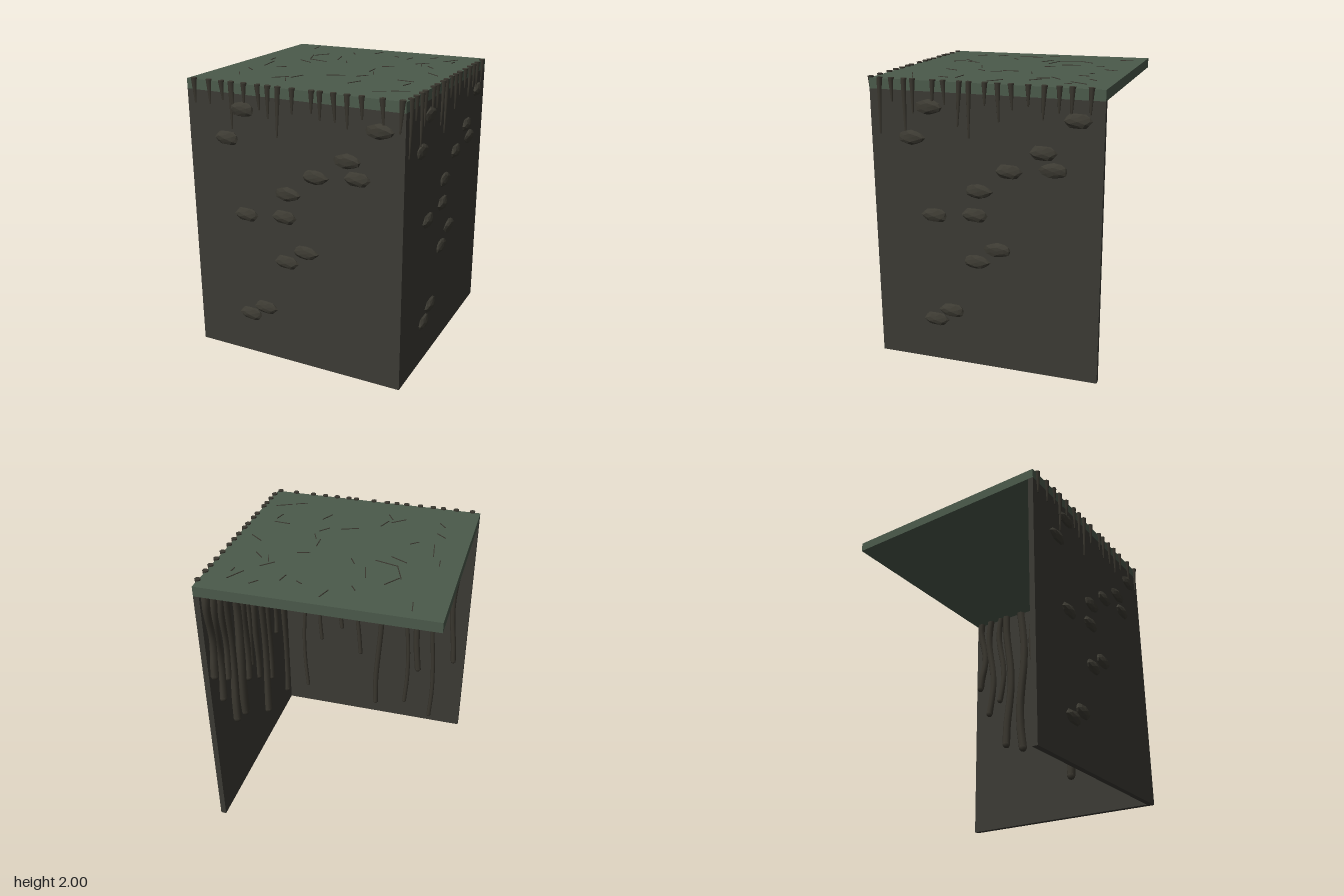
import * as THREE from 'three';

const mat = (name, color, extra = {}) => {
  const m = new THREE.MeshStandardMaterial({ color, ...extra });
  m.name = name;
  return m;
};

export function createModel() {
  const moss = mat('moss green', 0x4b5a4b);
  const earth = mat('dark earth', 0x3b3a34);
  const stone = mat('stone brown', 0x3c3a32, { flatShading: true });
  const root = mat('root brown', 0x3a372f);

  let seed = 7;
  const rand = () => (seed = (seed * 16807) % 2147483647) / 2147483647;
  const model = new THREE.Group();
  const add = (parent, name, geo, material, x = 0, y = 0, z = 0) => {
    const m = new THREE.Mesh(geo, material);
    m.name = name;
    m.position.set(x, y, z);
    parent.add(m);
    return m;
  };

  // Two thin walls meeting at a corner, under a mossy slab
  const MIN = -0.81, MAX = 0.78, T = 0.04, MID = (MIN + MAX) / 2, L = MAX - MIN;
  add(model, 'frontWall', new THREE.BoxGeometry(L, 1.92, T), earth, MID, 0.96, MAX - T / 2);
  add(model, 'sideWall', new THREE.BoxGeometry(T, 1.92, L - T), earth, MAX - T / 2, 0.96, MID - T / 2);
  add(model, 'mossTop', new THREE.BoxGeometry(L, 0.07, L), moss, MID, 1.955, MID);

  // Wall frame: u runs along the wall, v points outwards
  const place = (side, u, y, v) =>
    side ? new THREE.Vector3(v, y, u) : new THREE.Vector3(u, y, v);

  // Faceted stones half sunk in the outer faces
  const stoneGeometry = () => {
    const geo = new THREE.IcosahedronGeometry(1, 1);
    const p = geo.attributes.position;
    const phase = rand() * 6;
    for (let i = 0; i < p.count; i++) {
      const x = p.getX(i), y = p.getY(i), z = p.getZ(i);
      const k = 0.97 + 0.08 * Math.sin(phase + 5 * x + 7 * y + 3 * z);
      p.setXYZ(i, x * k * 0.097, y * k * 0.051, z * k * 0.029);
    }
    geo.computeVertexNormals();
    return geo;
  };
  const frontStones = [
    [-0.38, 1.82], [-0.51, 1.61], [0.61, 1.79], [0.39, 1.57], [0.46, 1.46], [0.16, 1.43],
    [-0.05, 1.28], [-0.38, 1.08], [-0.08, 1.11], [0.08, 0.88], [-0.07, 0.78], [-0.25, 0.39], [-0.38, 0.31]];
  const sideStones = [
    [0.36, 1.82], [0.49, 1.61], [-0.64, 1.79], [-0.42, 1.57], [-0.49, 1.46], [-0.19, 1.43],
    [0.02, 1.28], [0.34, 1.08], [0.05, 1.11], [-0.11, 0.88], [0.04, 0.78], [0.23, 0.39], [0.35, 0.31]];
  [frontStones, sideStones].forEach((list, side) => {
    const group = new THREE.Group();
    group.name = side ? 'sideStones' : 'frontStones';
    model.add(group);
    for (const [u, y] of list) {
      const s = add(group, 'stone', stoneGeometry(), stone);
      s.position.copy(place(side, u, y, MAX));
      if (side) s.rotation.y = Math.PI / 2;
    }
  });

  // Tapered strands hanging over the slab's outer edges: position, lower tip
  const frontFringe = [
    [-0.75, 1.83], [-0.63, 1.83], [-0.53, 1.87], [-0.45, 1.78], [-0.46, 1.68], [-0.36, 1.86],
    [-0.25, 1.83], [-0.18, 1.78], [-0.11, 1.66], [0, 1.83], [0.2, 1.81], [0.14, 1.85],
    [0.3, 1.81], [0.39, 1.78], [0.49, 1.85], [0.63, 1.83], [0.75, 1.79]];
  const sideFringe = [
    [0.71, 1.62], [0.62, 1.84], [0.53, 1.6], [0.47, 1.77], [0.33, 1.82], [0.25, 1.84],
    [0.15, 1.7], [0.08, 1.63], [-0.03, 1.85], [-0.12, 1.75], [-0.21, 1.83], [-0.32, 1.86],
    [-0.42, 1.78], [-0.52, 1.83], [-0.6, 1.8], [-0.72, 1.83]];
  [frontFringe, sideFringe].forEach((list, side) => {
    const group = new THREE.Group();
    group.name = side ? 'sideFringe' : 'frontFringe';
    model.add(group);
    for (const [u, tip] of list) {
      const h = 2 - tip;
      const s = add(group, 'strand', new THREE.CylinderGeometry(0.021, 0.006, h, 7), root);
      s.position.copy(place(side, u, 2 - h / 2, MAX));
      s.rotation[side ? 'x' : 'z'] = (rand() - 0.5) * 0.14;
    }
  });

  // Wavy roots hanging down the inner faces: position, lower end, radius
  const frontRoots = [
    [0.57, 0.18, 0.016], [0.42, 0.7, 0.016], [0.26, 0.85, 0.018], [0.1, 0.62, 0.018],
    [-0.08, 0.11, 0.023], [-0.32, 0.18, 0.018], [-0.42, 0.54, 0.027], [-0.54, 0.07, 0.018], [-0.7, 0.68, 0.022]];
  const sideRoots = [
    [-0.74, 1.28, 0.03], [-0.65, 1.02, 0.03], [-0.54, 1.12, 0.026], [-0.46, 0.7, 0.034],
    [-0.32, 0.64, 0.036], [-0.19, 0.87, 0.03], [-0.12, 0.97, 0.026], [0, 0.74, 0.028],
    [0.15, 0.32, 0.034], [0.27, 0.55, 0.026], [0.43, 0.9, 0.024], [0.62, 0.18, 0.03]];
  [frontRoots, sideRoots].forEach((list, side) => {
    const group = new THREE.Group();
    group.name = side ? 'sideRoots' : 'frontRoots';
    model.add(group);
    for (const [u, end, r] of list) {
      const phase = rand() * 6, points = [];
      for (let i = 0; i <= 7; i++) {
        const t = i / 7;
        points.push(place(side, u + 0.022 * Math.sin(phase + t * 7),
          1.93 + (end - 1.93) * t, MAX - T - 0.012 + 0.008 * Math.cos(phase + t * 5)));
      }
      const curve = new THREE.CatmullRomCurve3(points);
      add(group, 'root', new THREE.TubeGeometry(curve, 24, r, 7), root);
      add(group, 'rootTip', new THREE.SphereGeometry(r, 7, 5), root, ...points[7].toArray());
    }
  });

  // Thin twigs lying on the moss: x, z, angle in degrees, length
  const twigs = [
    [-0.6, -0.68, -82, 0.1], [-0.04, -0.67, 72, 0.1], [0.15, -0.58, -30, 0.05], [0.43, -0.65, 50, 0.07],
    [0.58, -0.59, 60, 0.14], [0.62, -0.53, 82, 0.05], [0.27, -0.55, 78, 0.08], [-0.2, -0.56, -55, 0.06],
    [-0.41, -0.41, 55, 0.13], [-0.43, -0.28, -70, 0.18], [-0.32, -0.18, -15, 0.16], [-0.22, -0.34, -75, 0.14],
    [-0.39, -0.11, -28, 0.13], [-0.1, -0.21, -60, 0.08], [-0.66, -0.09, -85, 0.08], [0.43, -0.4, 45, 0.11],
    [0.45, -0.32, -70, 0.09], [0.53, -0.29, -45, 0.09], [0.25, -0.18, 20, 0.09], [0.64, -0.05, -38, 0.12],
    [0.2, -0.01, -88, 0.11], [0.25, 0.08, -65, 0.08], [-0.59, 0.08, -82, 0.18], [-0.44, 0.16, 40, 0.07],
    [0.05, 0.26, 22, 0.13], [0.22, 0.2, 50, 0.09], [0.55, 0.23, -5, 0.12], [0.6, 0.33, 75, 0.08],
    [0.26, 0.41, 65, 0.11], [-0.17, 0.41, 70, 0.11], [-0.26, 0.48, 40, 0.12], [-0.6, 0.32, -40, 0.09],
    [-0.58, 0.49, -55, 0.08], [0.52, 0.59, 25, 0.09], [0.64, 0.53, 25, 0.12], [-0.19, 0.53, -60, 0.09]];
  const twigGroup = new THREE.Group();
  twigGroup.name = 'mossTwigs';
  model.add(twigGroup);
  for (const [x, z, angle, len] of twigs) {
    const t = add(twigGroup, 'twig', new THREE.BoxGeometry(len, 0.008, 0.006), root, x, 1.99, z);
    t.rotation.y = THREE.MathUtils.degToRad(angle);
  }
  return model;
}
